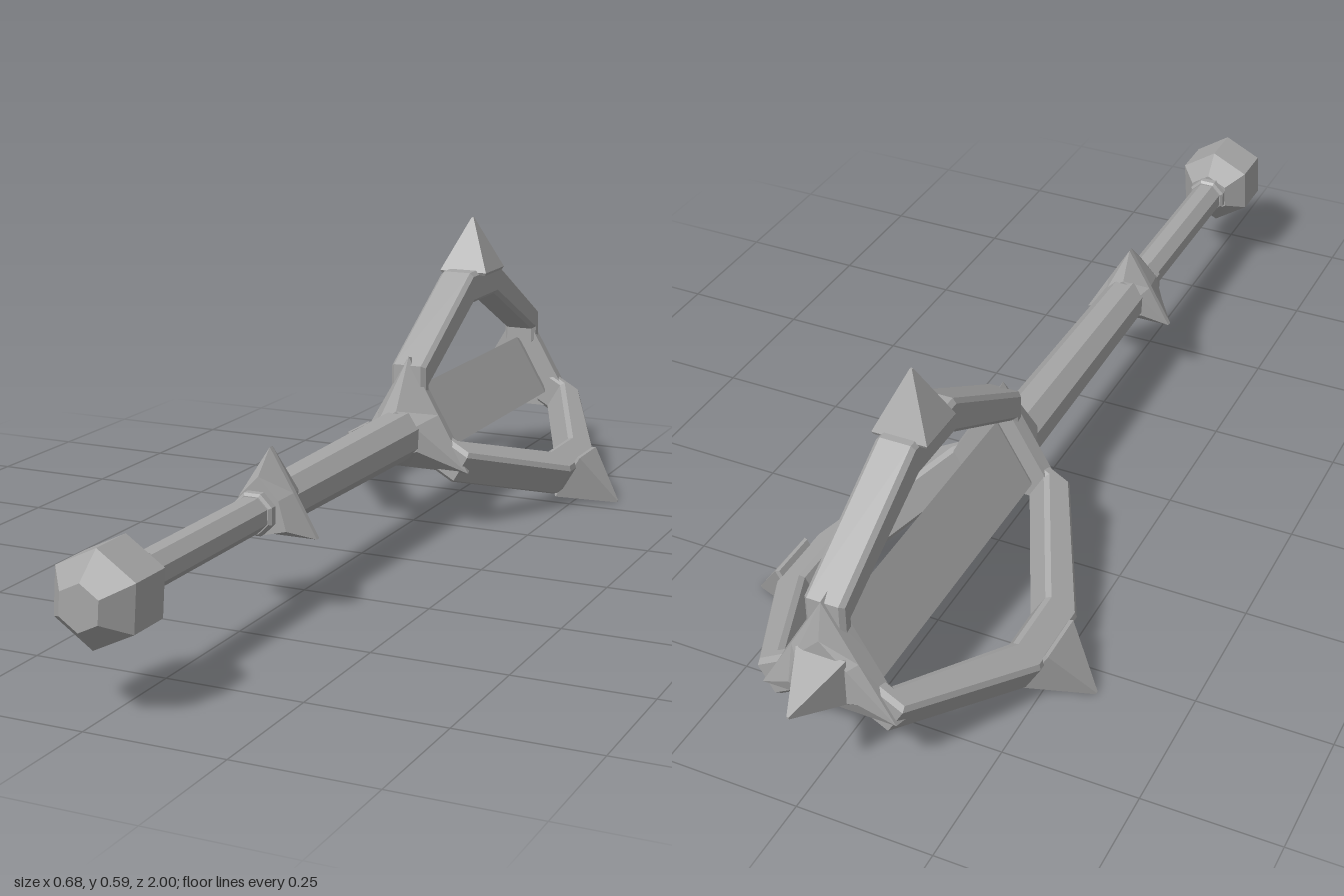
import * as THREE from 'three';

const steel = new THREE.MeshStandardMaterial({ color: 0xa6a6a6, flatShading: true });
steel.name = 'grey steel';

// Cross-section with n sides
function ring(n, r, turn = 0) {
  return Array.from({ length: n }, (_, i) => {
    const a = Math.PI / 2 + turn + (i / n) * Math.PI * 2;
    return [r * Math.cos(a), r * Math.sin(a)];
  });
}

// Three-cornered cross-section: corner radius and mid-side radius
function trefoil(corner, side) {
  return ring(6, 1).map(([x, y], i) => {
    const r = i % 2 ? side : corner;
    return [x * r, y * r];
  });
}

// Closed faceted body through [z, section] pairs, in order of rising z
function loft(sections) {
  const pos = [];
  const n = sections[0][1].length;
  const at = (k, j) => [...sections[k][1][j % n], sections[k][0]];
  const tri = (...corners) => corners.forEach((c) => pos.push(...c));
  const last = sections.length - 1;
  for (let j = 0; j < n; j++) {
    for (let k = 0; k < last; k++) {
      tri(at(k, j), at(k, j + 1), at(k + 1, j + 1));
      tri(at(k, j), at(k + 1, j + 1), at(k + 1, j));
    }
    tri([0, 0, sections[0][0]], at(0, j + 1), at(0, j));
    tri([0, 0, sections[last][0]], at(last, j), at(last, j + 1));
  }
  const geo = new THREE.BufferGeometry();
  geo.setAttribute('position', new THREE.Float32BufferAttribute(pos, 3));
  geo.computeVertexNormals();
  return geo;
}

function add(parent, name, geo) {
  const mesh = new THREE.Mesh(geo, steel);
  mesh.name = name;
  parent.add(mesh);
  return mesh;
}

// Round-section length along z
const rod = (sides, profile, turn = 0) =>
  loft(profile.map(([z, r]) => [z, ring(sides, r, turn)]));

// Square pyramid pointing up, with a thin lip at its base
function spikeGeometry(half, height) {
  const r = half * Math.SQRT2;
  const geo = rod(4, [[0, r * 0.94], [0.006, r], [height, 0.003]], Math.PI / 4);
  return geo.rotateX(-Math.PI / 2);
}

// Bent bar of one head flange, in its radial plane
function flangeGeometry() {
  const shape = new THREE.Shape([
    [0.215, 0.07], [0.215, 0.135], [0.47, 0.285], [0.62, 0.285],
    [0.875, 0.14], [0.875, 0.07], [0.845, 0.07], [0.845, 0.1],
    [0.61, 0.22], [0.48, 0.22], [0.245, 0.09], [0.245, 0.07],
  ].map(([u, v]) => new THREE.Vector2(u, v)));
  const geo = new THREE.ExtrudeGeometry(shape, {
    depth: 0.058, bevelEnabled: true, bevelSegments: 1,
    bevelThickness: 0.008, bevelSize: 0.008, bevelOffset: -0.008,
  });
  return geo.translate(0, 0, -0.029).rotateY(Math.PI / 2);
}

export function createModel() {
  const mace = new THREE.Group();
  mace.name = 'mace';
  mace.position.y = 0.2;

  // Handle
  add(mace, 'pommel', rod(6, [[0.83, 0.045], [0.87, 0.083], [0.955, 0.083], [1, 0.04]], -0.07));
  add(mace, 'grip', rod(8, [[0.41, 0.034], [0.85, 0.034]], Math.PI / 8));
  for (const z of [0.44, 0.825]) {
    add(mace, 'gripRing', rod(8, [
      [z - 0.012, 0.036], [z - 0.007, 0.041], [z + 0.007, 0.041], [z + 0.012, 0.036],
    ], Math.PI / 8));
  }
  add(mace, 'guard', loft([
    [0.34, trefoil(0.048, 0.042)], [0.37, trefoil(0.105, 0.053)],
    [0.38, trefoil(0.105, 0.053)], [0.425, trefoil(0.062, 0.045)],
  ]));
  add(mace, 'shaft', rod(8, [[-0.24, 0.052], [0.36, 0.045]], Math.PI / 8));

  // Head core with collars at both ends
  add(mace, 'headCollar', loft([
    [-0.245, trefoil(0.145, 0.072)], [-0.22, trefoil(0.152, 0.076)],
    [-0.16, trefoil(0.052, 0.047)],
  ]));
  add(mace, 'core', rod(3, [[-0.86, 0.07], [-0.83, 0.081], [-0.25, 0.081], [-0.23, 0.07]]));
  add(mace, 'endCap', loft([
    [-0.895, trefoil(0.075, 0.055)], [-0.88, trefoil(0.145, 0.072)],
    [-0.85, trefoil(0.152, 0.076)],
  ]));
  const tip = add(mace, 'endSpike', spikeGeometry(0.046, 0.115));
  tip.rotation.x = -Math.PI / 2;
  tip.position.z = -0.885;

  // Three flanges, each with a spike
  const bar = flangeGeometry();
  const spike = spikeGeometry(0.052, 0.115);
  for (let i = 0; i < 3; i++) {
    const flange = new THREE.Group();
    flange.name = 'flange';
    flange.rotation.z = (i * Math.PI * 2) / 3;
    add(flange, 'flangeBar', bar);
    add(flange, 'flangeSpike', spike).position.set(0, 0.275, -0.555);
    mace.add(flange);
  }

  const model = new THREE.Group();
  model.name = 'model';
  model.add(mace);
  return model;
}
